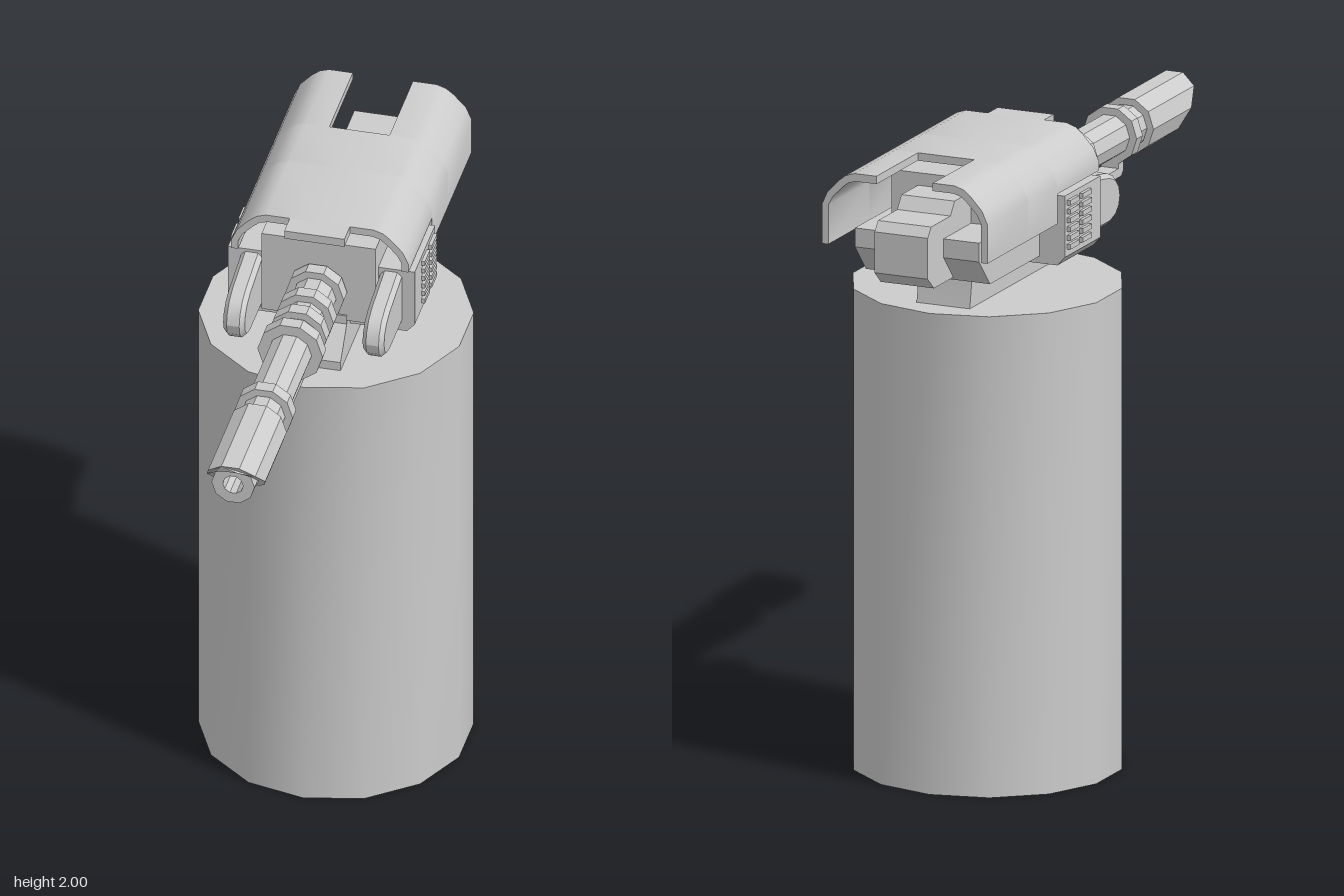
import * as THREE from 'three';
import { toCreasedNormals } from 'three/addons/utils/BufferGeometryUtils.js';

export function createModel() {
  const model = new THREE.Group();
  const mat = new THREE.MeshStandardMaterial({ color: 0xcccccc });
  const AXIS = 1.77; // barrel height

  const add = (name, geo, crease = 0.5) => {
    const mesh = new THREE.Mesh(toCreasedNormals(geo, crease), mat);
    mesh.name = name;
    model.add(mesh);
    return mesh;
  };
  const toShape = pts => new THREE.Shape(pts.map(p => new THREE.Vector2(p[0], p[1])));
  const extrude = (shape, depth, bevel = 0) => new THREE.ExtrudeGeometry(shape, {
    depth: depth - 2 * bevel, bevelEnabled: bevel > 0, bevelSize: bevel, bevelOffset: -bevel,
    bevelThickness: bevel, bevelSegments: 1, curveSegments: 6,
  }).translate(0, 0, bevel);
  // Cross-section in x, y swept from z0 to z1
  const alongZ = (shape, z0, z1) => extrude(shape, z1 - z0).translate(0, 0, z0);
  // Side profile in z, y given a width centred on x
  const alongX = (shape, width, x = 0, bevel = 0) =>
    extrude(shape, width, bevel).translate(0, 0, -width / 2).rotateY(-Math.PI / 2).translate(x, 0, 0);
  const box = (x0, x1, y0, y1, z0, z1) => new THREE.BoxGeometry(x1 - x0, y1 - y0, z1 - z0)
    .translate((x0 + x1) / 2, (y0 + y1) / 2, (z0 + z1) / 2);
  const decagon = r => Array.from({ length: 10 }, (_, i) =>
    [r * Math.cos(i * Math.PI / 5), AXIS + r * Math.sin(i * Math.PI / 5)]);
  const tube = (outer, inner, z0, z1) => {
    const shape = toShape(decagon(outer));
    shape.holes.push(new THREE.Path(decagon(inner).map(p => new THREE.Vector2(...p))));
    return alongZ(shape, z0, z1);
  };

  // Pedestal and narrow cradle foot
  add('pedestal', new THREE.CylinderGeometry(0.4225, 0.4225, 1.53, 14).translate(0, 0.765, -0.368));
  add('cradle', alongX(toShape([[-0.06, 1.53], [-0.06, 1.56], [-0.14, 1.65], [-0.14, 1.68],
    [-0.67, 1.68], [-0.67, 1.64], [-0.69, 1.53]]), 0.18));

  // Receiver: tall core, wider lower body and chamfered rear block
  add('receiverCore', box(-0.18, 0.18, 1.66, 1.94, -0.68, -0.145));
  add('lowerBody', alongX(toShape([[-0.17, 1.65], [-0.17, 1.8], [-0.88, 1.8],
    [-0.88, 1.74], [-0.8, 1.65]]), 0.42));
  add('rearBlock', alongX(toShape([[-0.6, 1.66], [-0.6, 1.9], [-0.8, 1.9], [-0.83, 1.86],
    [-0.97, 1.86], [-0.995, 1.83], [-0.995, 1.7], [-0.95, 1.66]]), 0.18));

  // Side panels with two columns of slats
  add('sidePanels', alongZ(toShape([[-0.295, 1.85], [-0.295, 1.655], [-0.27, 1.627],
    [0.27, 1.627], [0.295, 1.655], [0.295, 1.85]]), -0.44, -0.18));
  for (const s of [1, -1]) {
    for (const z of [-0.39, -0.3]) {
      for (let i = 0; i < 6; i++) {
        const y = 1.685 + i * 0.028;
        add('slat', box(-0.008, 0.008, y - 0.008, y + 0.008, z - 0.033, z + 0.033).translate(s * 0.298, 0, 0));
      }
    }
  }

  // Rounded arms on either side of the barrel
  const arm = new THREE.Shape();
  arm.moveTo(-0.2, 1.65);
  arm.lineTo(-0.02, 1.65);
  arm.bezierCurveTo(0.09, 1.66, 0.09, 1.79, -0.02, 1.812);
  arm.lineTo(-0.18, 1.84);
  arm.lineTo(-0.2, 1.84);
  for (const s of [1, -1]) add('arm', alongX(arm, 0.068, s * 0.22, 0.014));

  // Hollow top cover: outer line from the notch edge down to the hem, then back inside
  const half = (s, x0, hem) => toShape([[x0, 2], [0.17, 2], [0.2, 1.99], [0.225, 1.97],
    [0.262, 1.93], [0.28, 1.89], [0.28, hem], [0.258, hem], [0.258, 1.89], [0.243, 1.918],
    [0.21, 1.952], [0.19, 1.968], [0.165, 1.975], [x0, 1.975]].map(([x, y]) => [s * x, y]));
  for (const s of [1, -1]) {
    add('coverFront', alongZ(half(s, 0, 1.86), -0.46, -0.16), 0.7);
    add('coverMiddle', alongZ(half(s, 0, 1.765), -0.67, -0.46), 0.7);
    add('coverRear', alongZ(half(s, 0.095, 1.765), -0.97, -0.67), 0.7);
  }
  add('coverLip', box(-0.095, 0.095, 1.972, 2, -0.17, -0.09));

  // Barrel, collars and the rod beneath
  add('barrel', tube(0.068, 0.032, -0.16, 0.955));
  for (const [z, r] of [[0.54, 0.092], [0.2, 0.103], [0.108, 0.092], [0.015, 0.092], [-0.115, 0.092]]) {
    add('collar', tube(r, 0.06, z - 0.022, z + 0.022));
  }
  add('underRod', alongX(toShape([[-0.2, 1.64], [-0.2, 1.668], [0.52, 1.668], [0.52, 1.7],
    [0.555, 1.7], [0.555, 1.655], [0.54, 1.64]]), 0.06));

  // Muzzle sleeve, its mouth cut back towards the bottom
  const muzzle = tube(0.092, 0.07, 0.64, 0.99);
  const p = muzzle.attributes.position;
  for (let i = 0; i < p.count; i++) {
    if (p.getZ(i) > 0.9) p.setZ(i, Math.min(0.99, 0.82 + (p.getY(i) - 1.68) * 1.06));
  }
  add('muzzle', muzzle);

  return model;
}
